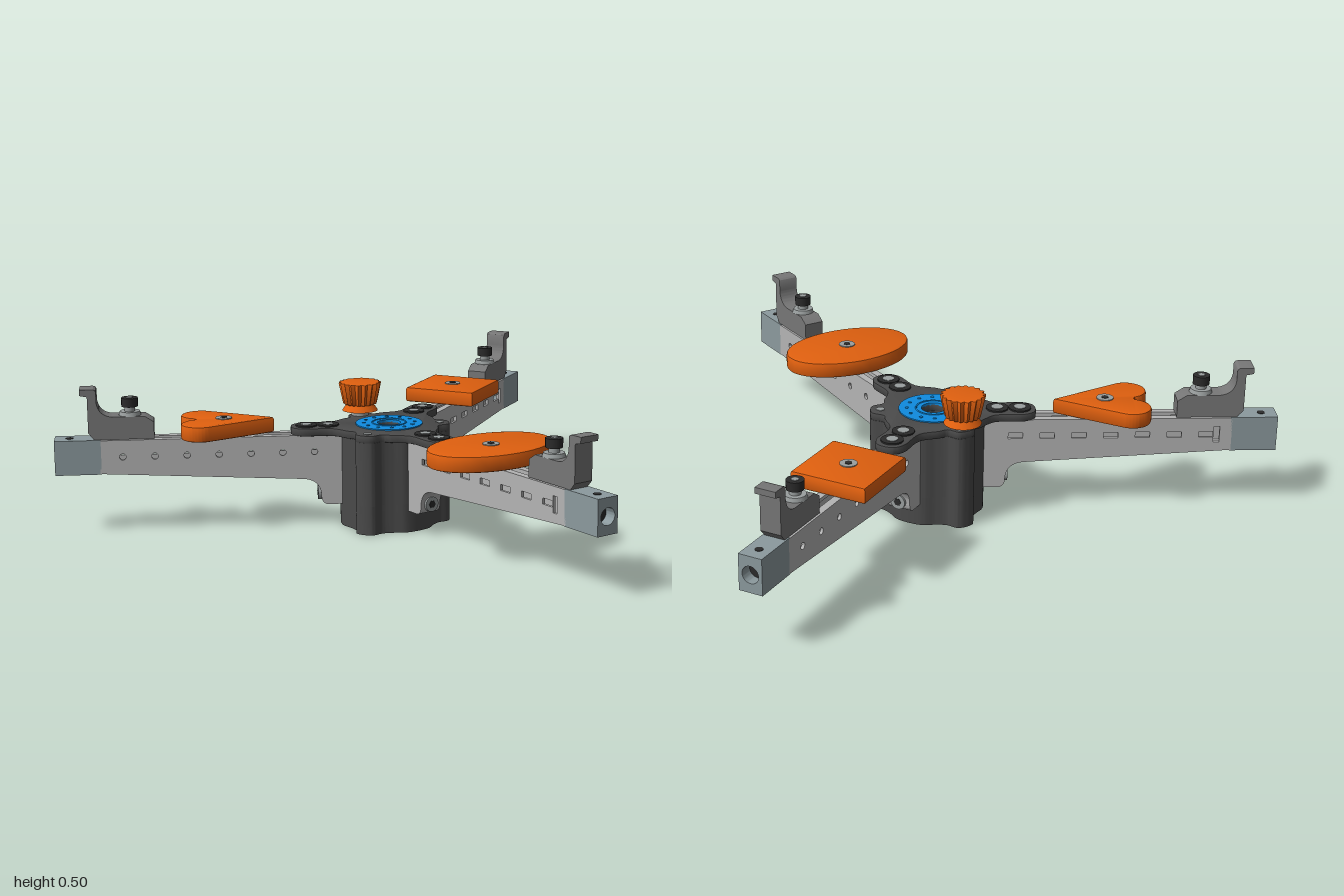
import * as THREE from 'three';
import { toCreasedNormals } from 'three/addons/utils/BufferGeometryUtils.js';

const mat = (color) => new THREE.MeshStandardMaterial({ color });
const M = {
  arm: mat(0xb4b4b4), hub: mat(0x4a4a4a), clamp: mat(0x777777), cap: mat(0x8c9a9e),
  orange: mat(0xe0600f), blue: mat(0x0f8be0), black: mat(0x2b2b2b), steel: mat(0x9a9f9f),
};
const W = 0.08; // arm width
const V = (x, y) => new THREE.Vector2(x, y);
const poly = (pts) => new THREE.Shape(pts.map(([x, y]) => V(x, y)));

function add(parent, name, geo, material, x = 0, y = 0, z = 0) {
  const m = new THREE.Mesh(geo, material);
  m.name = name;
  m.position.set(x, y, z);
  parent.add(m);
  return m;
}

function extrude(shape, depth, bevel = 0) {
  const g = new THREE.ExtrudeGeometry(shape, {
    depth: depth - 2 * bevel, bevelEnabled: bevel > 0, bevelThickness: bevel,
    bevelSize: bevel, bevelOffset: -bevel, bevelSegments: 2, curveSegments: 20,
  });
  g.translate(0, 0, bevel);
  return toCreasedNormals(g, 0.6);
}
// Slab lying flat: shape x,y become x,z, from height y0 up
const slab = (shape, y0, h, bevel) => extrude(shape, h, bevel).rotateX(Math.PI / 2).translate(0, y0 + h, 0);
// Side profile extruded across the arm, centred on z = zc
const across = (shape, w, zc = 0) => extrude(shape, w).translate(0, 0, zc - w / 2);
const cyl = (r, h, n = 24, r2 = r) => new THREE.CylinderGeometry(r, r2, h, n);

function roundHole(shape, x, y, r) {
  shape.holes.push(new THREE.Path().absarc(x, y, r, 0, Math.PI * 2, true));
  return shape;
}
function rectHole(shape, x, y, w, h) {
  shape.holes.push(new THREE.Path([V(x - w / 2, y - h / 2), V(x - w / 2, y + h / 2), V(x + w / 2, y + h / 2), V(x + w / 2, y - h / 2)]));
}

// Socket screw head with a dark recess
function screw(parent, name, x, y, z, r, material = M.steel) {
  add(parent, name, cyl(r, 0.008), material, x, y, z);
  add(parent, name + 'Socket', cyl(r * 0.45, 0.002, 6), M.black, x, y + 0.0045, z);
}

function wallShape() {
  const s = new THREE.Shape();
  s.moveTo(0.14, 0.32);
  s.lineTo(0.14, 0.075);
  s.lineTo(0.215, 0.075);
  s.quadraticCurveTo(0.238, 0.078, 0.238, 0.105);
  s.quadraticCurveTo(0.24, 0.164, 0.3, 0.167);
  s.lineTo(0.985, 0.205);
  s.lineTo(0.985, 0.32);
  return s;
}

function clampShape() {
  const s = poly([[0.8, 0.322], [0.8, 0.38], [0.83, 0.4], [0.94, 0.4]]);
  s.quadraticCurveTo(0.985, 0.405, 0.99, 0.45);
  s.lineTo(0.99, 0.485);
  s.quadraticCurveTo(0.992, 0.495, 1.005, 0.495);
  [[1.045, 0.495], [1.045, 0.475], [1.02, 0.47], [1.02, 0.345], [1.0, 0.322]].forEach(([x, y]) => s.lineTo(x, y));
  return s;
}

function padShape(kind) {
  if (kind === 'oval') return new THREE.Shape().absellipse(0.56, 0, 0.15, 0.23, 0, Math.PI * 2);
  if (kind === 'square') return poly([[0.435, -0.13], [0.695, -0.13], [0.695, 0.13], [0.435, 0.13]]);
  // heart with its point toward the hub
  const s = new THREE.Shape();
  s.moveTo(0.395, 0);
  s.lineTo(0.612, -0.126);
  s.absarc(0.645, -0.07, 0.065, -2.1, 1.25);
  s.lineTo(0.662, 0);
  s.absarc(0.645, 0.07, 0.065, -1.25, 2.1);
  return s;
}

function makeArm(kind) {
  const arm = new THREE.Group();
  arm.name = 'arm';

  // Side walls: long slots on one, round holes on the other
  const slotted = wallShape(), drilled = wallShape();
  for (let i = 0; i < 7; i++) rectHole(slotted, 0.27 + i * 0.105, 0.262, 0.048, 0.02);
  rectHole(slotted, 0.935, 0.262, 0.02, 0.055);
  for (let i = 0; i < 7; i++) roundHole(drilled, 0.26 + i * 0.108, 0.262, 0.011);
  add(arm, 'slottedWall', across(slotted, 0.01, W / 2 - 0.005), M.arm);
  add(arm, 'drilledWall', across(drilled, 0.01, -W / 2 + 0.005), M.arm);

  // Top lips leaving an open track
  for (const s of [-1, 1]) add(arm, 'topLip', new THREE.BoxGeometry(0.845, 0.012, 0.026), M.arm, 0.5625, 0.314, s * (W / 2 - 0.013));

  // Sloping floor with drain holes
  const floor = poly([[0, -W / 2], [0.686, -W / 2], [0.686, W / 2], [0, W / 2]]);
  for (let i = 0; i < 6; i++) roundHole(floor, 0.075 + i * 0.1, 0, i === 4 ? 0.019 : 0.012);
  add(arm, 'floor', slab(floor, 0, 0.01), M.arm, 0.3, 0.167, 0).rotation.z = Math.atan2(0.038, 0.685);

  // Curved mounting foot with its radial bolt
  const foot = new THREE.Shape();
  foot.moveTo(0.15, 0.075);
  foot.lineTo(0.215, 0.075);
  foot.quadraticCurveTo(0.238, 0.078, 0.238, 0.105);
  foot.quadraticCurveTo(0.24, 0.164, 0.302, 0.167);
  foot.lineTo(0.302, 0.178);
  foot.lineTo(0.15, 0.178);
  add(arm, 'mountingFoot', across(foot, W), M.arm);
  add(arm, 'footBolt', cyl(0.026, 0.016), M.steel, 0.24, 0.11).rotation.z = Math.PI / 2;
  add(arm, 'footBoltSocket', cyl(0.013, 0.003, 6), M.black, 0.2485, 0.11).rotation.z = Math.PI / 2;

  // Hollow end cap
  const cap = roundHole(poly([[-0.04, 0.203], [0.04, 0.203], [0.04, 0.322], [-0.04, 0.322]]), 0, 0.262, 0.028);
  add(arm, 'endCap', extrude(cap, 0.155).rotateY(Math.PI / 2), M.cap, 0.98);
  add(arm, 'endCapCore', cyl(0.029, 0.01), M.black, 1.09, 0.262).rotation.z = Math.PI / 2;
  add(arm, 'endCapPin', cyl(0.013, 0.003), M.black, 1.085, 0.322);

  // Sliding hook clamp and thumb screw
  add(arm, 'clamp', across(clampShape(), 0.07), M.clamp);
  add(arm, 'clampWasher', cyl(0.034, 0.014, 24, 0.038), M.steel, 0.88, 0.406);
  add(arm, 'clampStem', cyl(0.018, 0.03), M.steel, 0.88, 0.42);
  add(arm, 'clampScrew', cyl(0.028, 0.03, 16), M.black, 0.88, 0.444);
  add(arm, 'clampScrewSocket', cyl(0.013, 0.002, 6), M.steel, 0.88, 0.46);

  // Shaped pad on the track
  add(arm, kind + 'Pad', slab(padShape(kind), 0.325, 0.054, 0.008), M.orange);
  screw(arm, 'padScrew', 0.565, 0.378, 0, 0.028);

  // Two bolts through the hub plate
  for (const r of [0.21, 0.285]) {
    add(arm, 'plateBoss', cyl(0.037, 0.012), M.black, r, 0.344);
    add(arm, 'plateBolt', cyl(0.019, 0.004), M.steel, r, 0.3495);
  }
  return arm;
}

// Closed outline with three repeats of arm-side points and ear points
function lobed(armPts, earPts) {
  const pts = [];
  for (let k = 0; k < 3; k++) {
    armPts.forEach(([x, y]) => pts.push(V(x, y).rotateAround(V(0, 0), k * Math.PI * 2 / 3)));
    earPts.forEach(([x, y]) => pts.push(V(x, y).rotateAround(V(0, 0), (k * 2 + 1) * Math.PI / 3)));
  }
  const v3 = pts.map((p) => new THREE.Vector3(p.x, p.y, 0));
  const curve = new THREE.CatmullRomCurve3(v3, true, 'centripetal');
  return new THREE.Shape(curve.getPoints(180).slice(0, -1).map((p) => V(p.x, p.y)));
}

function makeHub() {
  const hub = new THREE.Group();
  hub.name = 'hub';
  const ear = [[0.165, -0.05], [0.203, -0.028], [0.203, 0.028], [0.165, 0.05]];
  const body = () => lobed([[0.14, 0.085].map((v, i) => (i ? -v : v)), [0.165, -0.045], [0.165, 0.045], [0.14, 0.085]], ear);
  add(hub, 'hubSkirt', slab(roundHole(body(), 0, 0, 0.13), 0, 0.1), M.hub);
  add(hub, 'hubBody', slab(roundHole(body(), 0, 0, 0.04), 0.1, 0.22), M.hub);
  const plate = lobed([[0.15, -0.1], [0.2, -0.055], [0.3, -0.05], [0.333, -0.027], [0.333, 0.027], [0.3, 0.05], [0.2, 0.055], [0.15, 0.1]], ear);
  add(hub, 'topPlate', slab(roundHole(plate, 0, 0, 0.04), 0.318, 0.027, 0.003), M.hub);
  for (const s of [-1, 1]) {
    const a = s * Math.PI / 3;
    add(hub, 'earBolt', cyl(0.014, 0.004), M.steel, 0.175 * Math.cos(a), 0.345, 0.175 * Math.sin(a));
  }

  // Blue dial with raised ring and dots
  const disc = roundHole(new THREE.Shape().absarc(0, 0, 0.115, 0, Math.PI * 2), 0, 0, 0.04);
  add(hub, 'dial', slab(disc, 0.34, 0.009), M.blue);
  add(hub, 'dialRing', new THREE.TorusGeometry(0.058, 0.003, 6, 40).rotateX(Math.PI / 2), M.blue, 0, 0.349, 0);
  for (let i = 0; i < 12; i++) {
    const a = i * Math.PI / 6;
    add(hub, 'dialDot', cyl(0.006, 0.003, 10), M.blue, 0.088 * Math.cos(a), 0.35, 0.088 * Math.sin(a));
  }

  // Fluted knob on the ear opposite the first arm
  const flutes = [];
  for (let i = 0; i < 72; i++) {
    const a = i * Math.PI / 36, r = 0.07 + 0.005 * Math.cos(a * 18);
    flutes.push([r * Math.cos(a), r * Math.sin(a)]);
  }
  const head = slab(poly(flutes), 0.385, 0.078, 0.004);
  const p = head.attributes.position;
  for (let i = 0; i < p.count; i++) { // narrow toward the bottom
    const k = 0.78 + 0.22 * (p.getY(i) - 0.385) / 0.078;
    p.setX(i, p.getX(i) * k);
    p.setZ(i, p.getZ(i) * k);
  }
  const knob = new THREE.Group();
  knob.name = 'knob';
  knob.position.x = -0.175;
  add(knob, 'knobHead', toCreasedNormals(head, 0.5), M.orange);
  add(knob, 'knobCollar', cyl(0.045, 0.025, 32, 0.062), M.orange, 0, 0.375, 0);
  add(knob, 'knobStem', cyl(0.03, 0.03), M.steel, 0, 0.352, 0);
  hub.add(knob);
  return hub;
}

export function createModel() {
  const root = new THREE.Group();
  root.name = 'tripodFixture';
  const spider = new THREE.Group();
  spider.name = 'spider';
  spider.position.set(-0.226, 0, 0.043);
  spider.rotation.y = -5 * Math.PI / 180;
  spider.add(makeHub());
  ['oval', 'heart', 'square'].forEach((kind, i) => {
    const arm = makeArm(kind);
    arm.rotation.y = -i * Math.PI * 2 / 3;
    spider.add(arm);
  });
  root.add(spider);
  return root;
}
